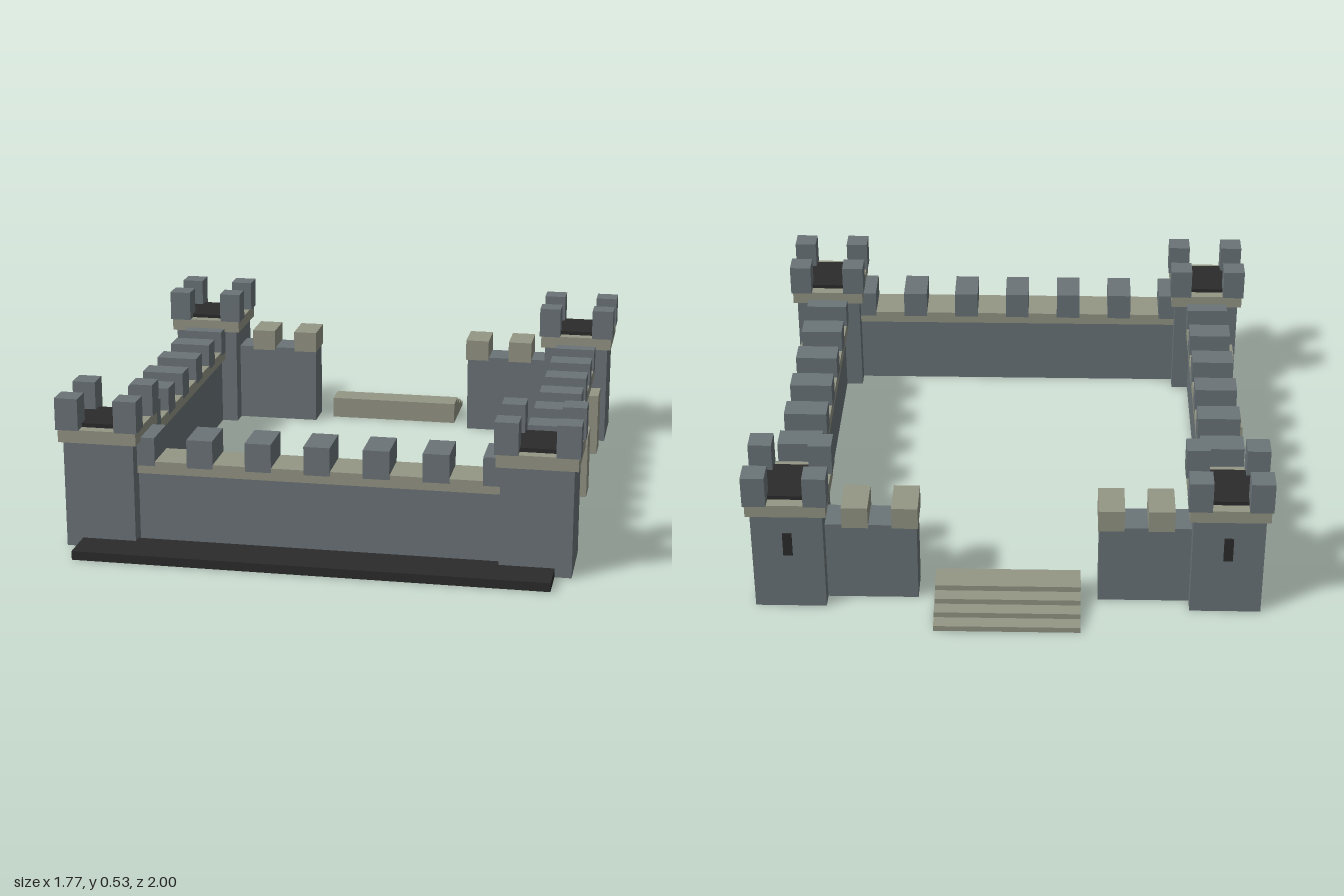
import * as THREE from 'three';

const stone = new THREE.MeshStandardMaterial({ color: 0x6b7478 });
stone.name = 'stone grey';
const trim = new THREE.MeshStandardMaterial({ color: 0x949685 });
trim.name = 'pale trim';
const dark = new THREE.MeshStandardMaterial({ color: 0x2b2b2b });
dark.name = 'dark slate';

// Box given by its size, its centre in x and z, and its underside
function box(parent, name, material, [w, h, d], x, y, z) {
  const mesh = new THREE.Mesh(new THREE.BoxGeometry(w, h, d), material);
  mesh.name = name;
  mesh.position.set(x, y + h / 2, z);
  parent.add(mesh);
  return mesh;
}

const T = 0.745; // distance of the tower and wall axes from the centre

function makeTower(hasSlit) {
  const tower = new THREE.Group();
  tower.name = 'cornerTower';
  box(tower, 'towerBody', stone, [0.244, 0.38, 0.244], 0, 0, 0);
  box(tower, 'towerTrim', trim, [0.272, 0.046, 0.272], 0, 0.376, 0);
  box(tower, 'towerRoof', dark, [0.196, 0.015, 0.196], 0, 0.421, 0);
  for (const sx of [-1, 1])
    for (const sz of [-1, 1])
      box(tower, 'towerMerlon', stone, [0.08, 0.112, 0.08], sx * 0.102, 0.421, sz * 0.102);
  if (hasSlit) box(tower, 'arrowSlit', dark, [0.032, 0.09, 0.009], 0, 0.213, -0.1225);
  return tower;
}

// Full wall running along x
function makeWall(name, spacing) {
  const wall = new THREE.Group();
  wall.name = name;
  box(wall, 'wallBody', stone, [1.27, 0.262, 0.12], 0, 0, 0);
  box(wall, 'wallTrim', trim, [1.27, 0.044, 0.15], 0, 0.261, 0);
  for (let i = -3; i <= 3; i++)
    box(wall, 'wallMerlon', stone, [0.09, 0.1, 0.153], i * spacing, 0.289, 0);
  return wall;
}

export function createModel() {
  const castle = new THREE.Group();
  castle.name = 'castleWalls';

  // Corner towers, slits on the back pair
  for (const sx of [-1, 1])
    for (const sz of [-1, 1]) {
      const tower = makeTower(sz < 0);
      tower.position.set(sx * T, 0, sz * T);
      castle.add(tower);
    }

  // Front wall
  const front = makeWall('frontWall', 0.202);
  front.position.z = T;
  castle.add(front);

  for (const sx of [-1, 1]) {
    // Side wall with buttresses on its outer face
    const side = makeWall('sideWall', 0.2);
    side.rotation.y = sx * Math.PI / 2;
    side.position.x = sx * T;
    castle.add(side);
    for (const x of [-0.507, 0, 0.507])
      box(side, 'buttress', trim, [0.11, 0.235, 0.06], x, 0, 0.075);

    // Short back wall beside the gate opening
    const back = new THREE.Group();
    back.name = 'backWall';
    box(back, 'backWallBody', stone, [0.325, 0.3, 0.12], sx * 0.4725, 0, -0.75);
    for (const x of [0.35, 0.52])
      box(back, 'backMerlon', trim, [0.09, 0.08, 0.145], sx * x, 0.292, -0.745);
    castle.add(back);
  }

  // Gate steps, each one rising towards the court
  const steps = new THREE.Group();
  steps.name = 'gateSteps';
  for (let i = 0; i < 4; i++) {
    const depth = i === 3 ? 0.1 : 0.05;
    box(steps, 'step', trim, [0.5, 0.02 * (i + 1), depth], 0, 0, -1 + i * 0.05 + depth / 2);
  }
  castle.add(steps);

  // Dark strip along the front
  box(castle, 'frontMoat', dark, [1.62, 0.031, 0.165], 0, 0, 0.9175);

  return castle;
}
